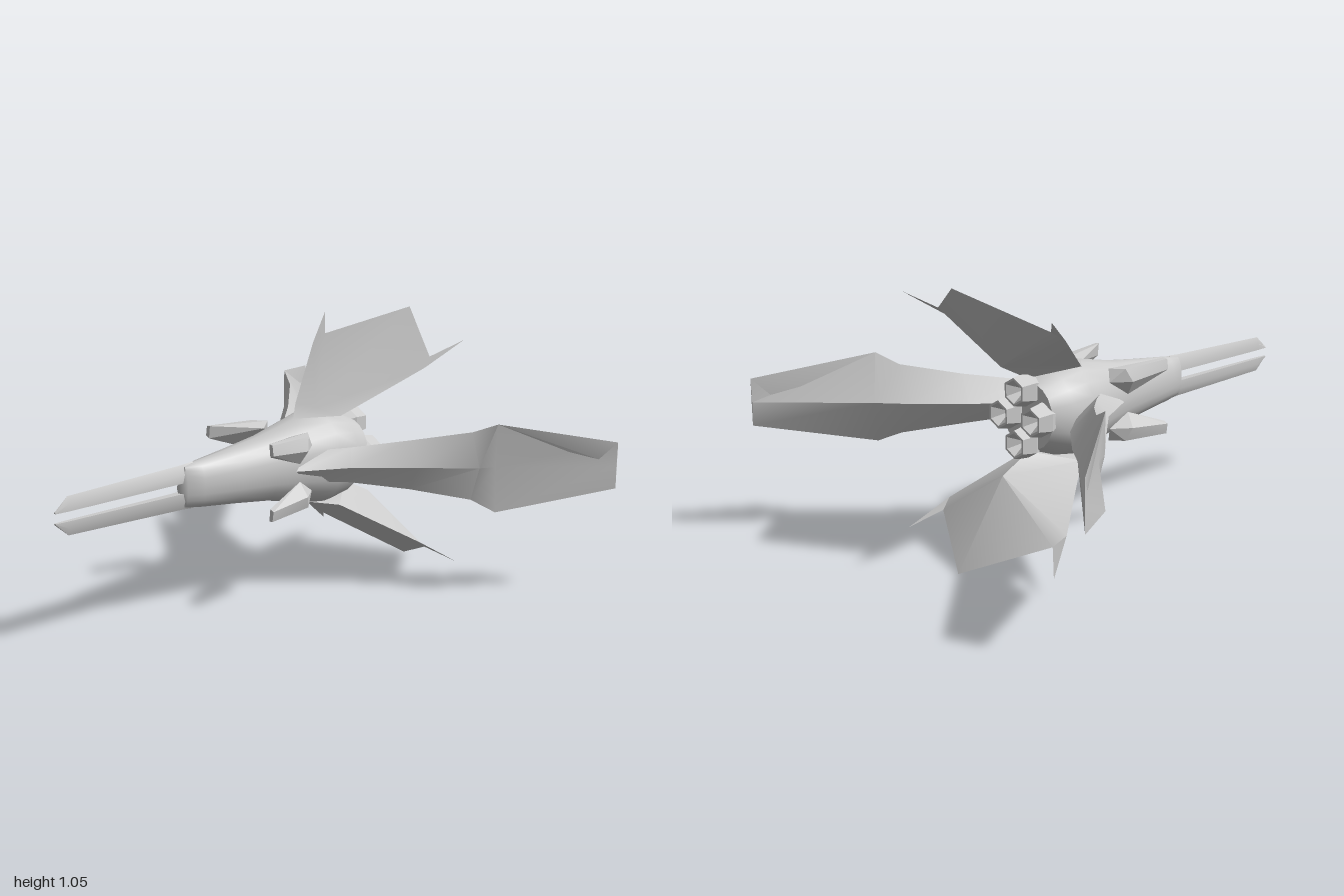
import * as THREE from 'three';
import { toCreasedNormals } from 'three/addons/utils/BufferGeometryUtils.js';
import { ConvexGeometry } from 'three/addons/geometries/ConvexGeometry.js';

const grey = new THREE.MeshStandardMaterial({ color: 0xcccccc, side: THREE.DoubleSide });

function part(name, geometry, crease = 0.6) {
  const mesh = new THREE.Mesh(toCreasedNormals(geometry, crease), grey);
  mesh.name = name;
  return mesh;
}

function surface(points, index) {
  const g = new THREE.BufferGeometry();
  g.setAttribute('position', new THREE.Float32BufferAttribute(points.flat(), 3));
  g.setIndex(index);
  return g;
}

// Skin over closed rings of equal point count, with both ends capped
function loft(rings) {
  const n = rings[0].length, index = [];
  for (let r = 0; r < rings.length - 1; r++) {
    for (let i = 0; i < n; i++) {
      const a = r * n + i, b = r * n + (i + 1) % n;
      index.push(a, a + n, b, b, a + n, b + n);
    }
  }
  const last = (rings.length - 1) * n;
  for (let i = 1; i < n - 1; i++) {
    index.push(0, i, i + 1, last, last + i + 1, last + i);
  }
  return surface(rings.flat(), index);
}

// Rounded hull section
function hullRing([z, w, h]) {
  return Array.from({ length: 20 }, (_, i) => {
    const a = (i / 20) * Math.PI * 2, c = Math.cos(a), s = Math.sin(a);
    return [w * Math.sign(c) * Math.abs(c) ** 0.9, h * Math.sign(s) * Math.abs(s) ** 0.9, z];
  });
}

// Wing: diamond sections given as edge (x, z), half height, outer ridge, inner ridge
function wingGeometry() {
  const stations = [
    [0.10, -0.10, 0.06, 0.13, -0.02, 0.06, -0.30],
    [0.20, -0.24, 0.07, 0.23, -0.21, 0.14, -0.28],
    [0.35, -0.41, 0.098, 0.40, -0.40, 0.27, -0.45],
    [0.52, -0.575, 0.135, 0.56, -0.575, 0.43, -0.60],
    [0.607, -0.62, 0.175, 0.59, -0.635, 0.54, -0.685],
    [0.884, -1.0, 0.092, 0.884, -0.998, 0.88, -1.0],
  ];
  return loft(stations.map(([x, z, h, ox, oz, ix, iz]) =>
    [[x, h, z], [ox, 0, oz], [x, -h, z], [ix, 0, iz]]));
}

// Tail fin: sloping plate with two side spikes and a keel behind it
function finGeometry() {
  const p = [
    [0, 0.165, -0.12], [0, 0.525, -0.755],                            // front, apex
    [0.28, 0.39, -0.58], [0.365, 0.455, -0.68], [0.30, 0.355, -0.53], // left notch, spike, shoulder
    [0.13, 0.18, -0.25],
    [-0.31, 0.39, -0.58], [-0.417, 0.455, -0.68], [-0.33, 0.355, -0.53],
    [-0.13, 0.18, -0.25],
    [0, 0.14, -0.40], [0, 0.205, -0.53],                              // keel
    [0, 0.19, -0.24],
  ];
  const index = [];
  const tri = (a, b, c, flip) => index.push(...(flip ? [a, c, b] : [a, b, c]));
  for (const [n, s, e, r, flip] of [[2, 3, 4, 5, false], [6, 7, 8, 9, true]]) {
    // outer face
    tri(0, 12, r, !flip);
    tri(12, 1, n, !flip);
    tri(12, n, e, !flip);
    tri(12, e, r, !flip);
    tri(n, s, e, !flip);
    // inner face
    tri(10, 11, r, flip);
    tri(11, e, r, flip);
    tri(11, n, e, flip);
    tri(11, 1, n, flip);
    tri(0, 10, r, flip);
  }
  return surface(p, index);
}

export function createModel() {
  const model = new THREE.Group();
  model.name = 'starship';
  const ship = new THREE.Group();
  ship.name = 'ship';
  ship.position.y = 0.533;
  model.add(ship);

  // Hull
  ship.add(part('hull', loft([
    [0.45, 0.006, 0.015], [0.425, 0.028, 0.08], [0.36, 0.05, 0.09], [0.2, 0.08, 0.108],
    [0.05, 0.105, 0.128], [-0.1, 0.14, 0.16], [-0.22, 0.17, 0.185], [-0.32, 0.165, 0.165],
    [-0.4, 0.13, 0.13],
  ].map(hullRing)), 0.9));

  for (const v of [1, -1]) {
    // Nose prongs
    const prong = part(v > 0 ? 'upperProng' : 'lowerProng', loft([
      [0.38, 0.09, 0.018, 0.022], [0.43, 0.086, 0.02, 0.016],
      [0.94, 0.072, 0.018, 0.009], [0.995, 0.024, 0.018, 0.005],
    ].map(([z, t, b, w]) => [[-w, b, z], [w, b, z], [w, (t + b) / 2, z], [0, t, z], [-w, (t + b) / 2, z]])));
    prong.scale.y = v;
    ship.add(prong);

    // Tail fins
    const fin = part(v > 0 ? 'upperFin' : 'lowerFin', finGeometry(), 0.5);
    fin.scale.y = v;
    ship.add(fin);
  }

  for (const side of [1, -1]) {
    // Swept wings
    const wing = part(side > 0 ? 'leftWing' : 'rightWing', wingGeometry(), 0.5);
    wing.scale.x = side;
    ship.add(wing);

    // Forward-pointing cannon wedges on the hull corners
    for (const v of [1, -1]) {
      const wedge = part('cannonWedge', new ConvexGeometry([
        [0.172, 0.15, 0.155], [0.19, 0.148, 0.155], [0.196, 0.108, 0.155], [0.178, 0.1, 0.155],
        [0.08, 0.125, -0.04], [0.115, 0.14, -0.09], [0.165, 0.14, -0.05], [0.185, 0.09, -0.03],
        [0.15, 0.035, -0.02], [0.13, 0.09, -0.1],
      ].map(q => new THREE.Vector3(...q))), 0.3);
      wedge.scale.set(side, v, 1);
      ship.add(wedge);
    }
  }

  // Four hexagonal engine bells with hollow mouths
  const bell = new THREE.LatheGeometry([
    [0.04, 0], [0.066, 0.06], [0.054, 0.12], [0.045, 0.12], [0.001, 0.06],
  ].map(q => new THREE.Vector2(...q)), 6);
  bell.rotateX(-Math.PI / 2);
  for (let i = 0; i < 4; i++) {
    const a = i * Math.PI / 2;
    const engine = part('engineBell', bell, 0.3);
    engine.position.set(Math.cos(a) * 0.085, Math.sin(a) * 0.1, -0.35);
    ship.add(engine);
  }
  return model;
}
